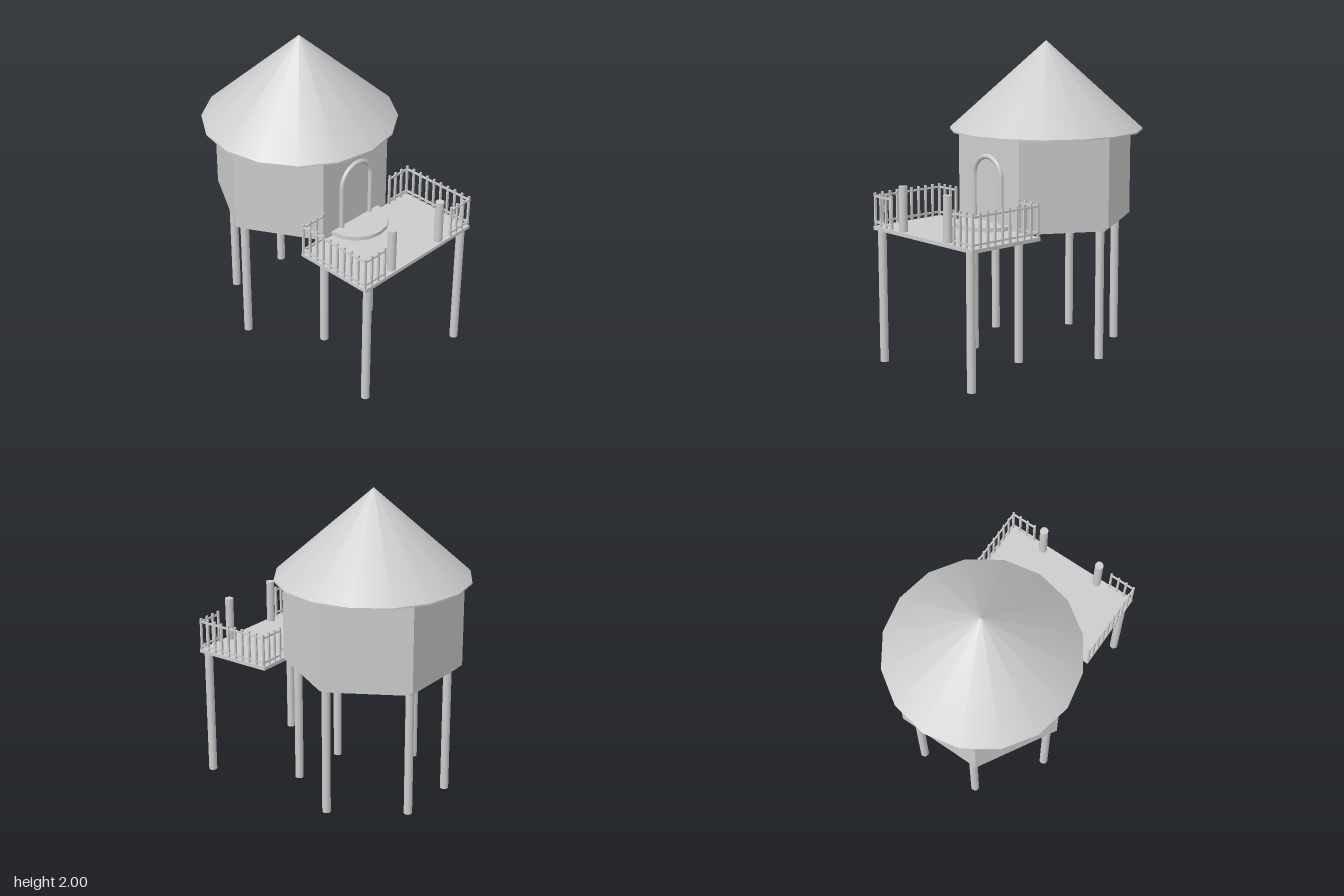
import * as THREE from 'three';
import { toCreasedNormals } from 'three/addons/utils/BufferGeometryUtils.js';

const HUT_Z = -0.207, FLOOR = 0.868, BASE = 0.845;

export function createModel() {
  const root = new THREE.Group();
  const smooth = new THREE.MeshStandardMaterial({ color: 0xcccccc });
  const flat = new THREE.MeshStandardMaterial({ color: 0xcccccc, flatShading: true });

  function add(name, geometry, x, y, z, material = smooth, parent = root) {
    const mesh = new THREE.Mesh(geometry, material);
    mesh.name = name;
    mesh.position.set(x, y, z);
    parent.add(mesh);
    return mesh;
  }
  const hexPrism = (r, h) => new THREE.CylinderGeometry(r, r, h, 6, 1, false, Math.PI / 6);
  function pole(name, x, z, y0, y1) {
    add(name, new THREE.CylinderGeometry(0.027, 0.027, y1 - y0, 16), x, (y0 + y1) / 2, z);
  }

  // six-sided hut on its floor slab
  add('walls', hexPrism(0.565, 0.59), 0, FLOOR + 0.295, HUT_Z, flat);
  add('hutFloor', hexPrism(0.537, FLOOR - BASE), 0, (FLOOR + BASE) / 2, HUT_Z, flat);

  // hollow conical roof with a thin rim
  const roofProfile = [[0, 1.978], [0.606, 1.434], [0.617, 1.434], [0.617, 1.444], [0, 2]]
    .map(([r, y]) => new THREE.Vector2(r, y));
  add('roof', toCreasedNormals(new THREE.LatheGeometry(roofProfile, 16), 0.6), 0, 0, HUT_Z);

  // rounded door frame
  const frame = new THREE.CurvePath();
  const v = (x, y) => new THREE.Vector3(x, y, 0);
  const arc = [];
  for (let i = 0; i <= 16; i++) {
    const a = Math.PI * (1 - i / 16);
    arc.push(v(0.127 * Math.cos(a), 1.178 + 0.127 * Math.sin(a)));
  }
  frame.add(new THREE.LineCurve3(v(-0.127, FLOOR), v(-0.127, 1.178)));
  frame.add(new THREE.CatmullRomCurve3(arc));
  frame.add(new THREE.LineCurve3(v(0.127, 1.178), v(0.127, FLOOR)));
  add('doorFrame', new THREE.TubeGeometry(frame, 64, 0.016, 10), 0, 0, 0.289);

  // half-round doorstep
  add('doorstep', new THREE.CylinderGeometry(0.21, 0.21, 0.026, 16), 0, FLOOR + 0.013, 0.285);

  // terrace
  add('deck', new THREE.BoxGeometry(0.95, FLOOR - BASE, 0.535), 0, (FLOOR + BASE) / 2, 0.5525);

  // stilts and gate posts
  for (const s of [-1, 1]) {
    pole('deckStilt', s * 0.425, 0.79, 0, BASE);
    pole('hutSideStilt', s * 0.493, HUT_Z, 0.02, BASE);
    pole('hutFrontStilt', s * 0.213, 0.222, 0.02, BASE);
    pole('hutBackStilt', s * 0.213, -0.632, 0.02, BASE);
    pole('gatePost', s * 0.213, 0.785, FLOOR, 1.15);
  }

  // railings: two rails with evenly spaced balusters between two ground points
  function railing(name, x0, z0, x1, z1, count) {
    const group = new THREE.Group();
    group.name = name;
    root.add(group);
    const length = Math.hypot(x1 - x0, z1 - z0), alongX = z0 === z1;
    for (const y of [0.893, 1.057]) {
      const size = alongX ? [length + 0.012, 0.012, 0.01] : [0.01, 0.012, length + 0.012];
      add('rail', new THREE.BoxGeometry(...size), (x0 + x1) / 2, y, (z0 + z1) / 2, smooth, group);
    }
    for (let i = 0; i < count; i++) {
      const t = i / (count - 1);
      add('baluster', new THREE.BoxGeometry(0.013, 0.212, 0.013),
        x0 + (x1 - x0) * t, FLOOR + 0.106, z0 + (z1 - z0) * t, smooth, group);
    }
  }
  for (const s of [-1, 1]) {
    railing('sideRailing', s * 0.467, 0.297, s * 0.467, 0.808, 10);
    railing('frontRailing', s * 0.467, 0.808, s * 0.3, 0.808, 4);
    railing('backRailing', s * 0.467, 0.297, s * 0.3, 0.297, 4);
  }

  return root;
}
